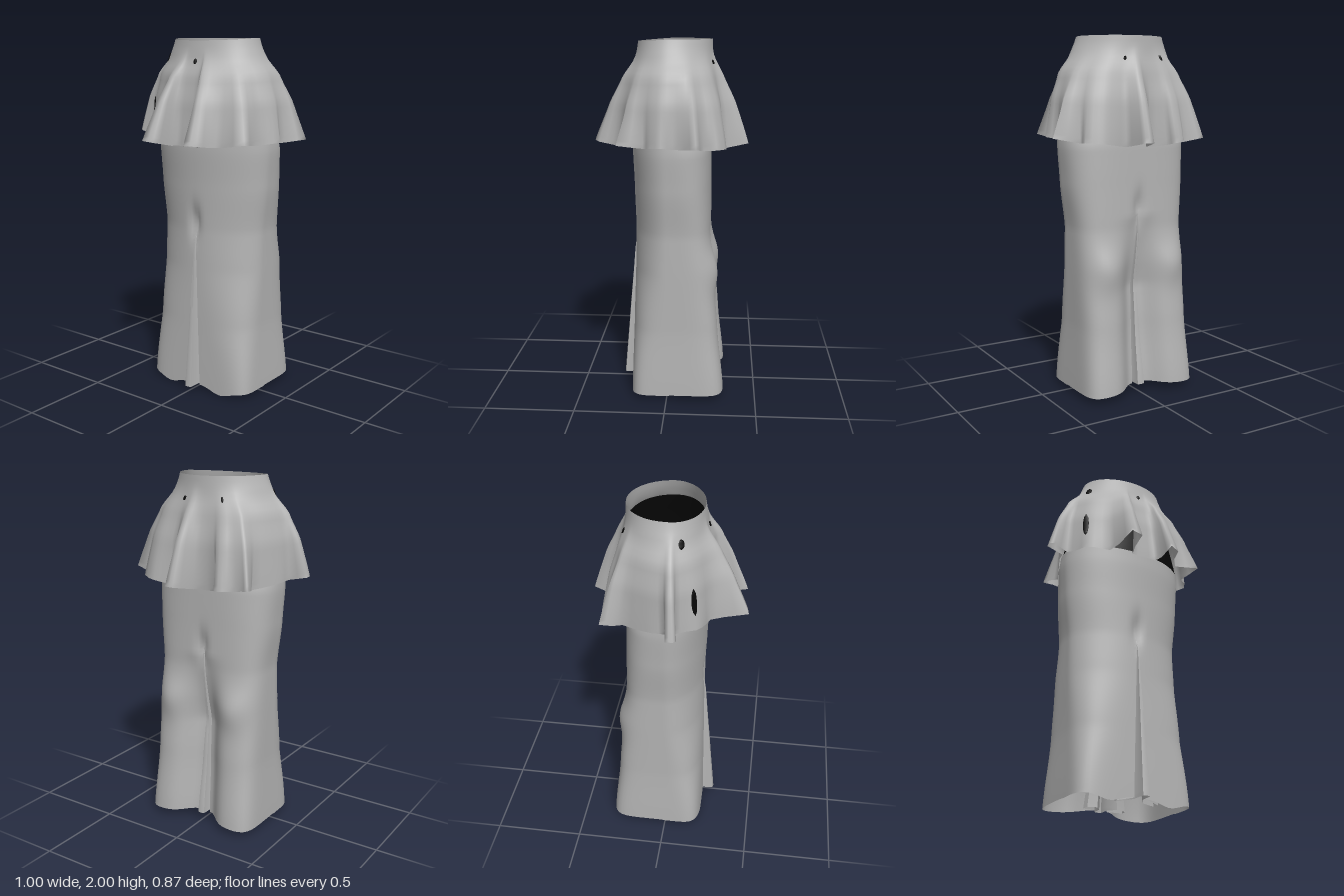
import * as THREE from 'three';
import { toCreasedNormals } from 'three/addons/utils/BufferGeometryUtils.js';

// Skin a stack of closed rings (listed top to bottom, front towards +x)
function loft(rings) {
  const n = rings[0].length, index = [];
  for (let i = 0; i < rings.length - 1; i++) {
    for (let j = 0; j < n; j++) {
      const k = (j + 1) % n, a = i * n + j, b = i * n + k, c = a + n, d = b + n;
      index.push(a, c, b, b, c, d);
    }
  }
  const geo = new THREE.BufferGeometry();
  geo.setAttribute('position', new THREE.Float32BufferAttribute(rings.flat(2), 3));
  geo.setIndex(index);
  geo.computeVertexNormals();
  return geo;
}

const clamp01 = (t) => Math.min(1, Math.max(0, t));
const bell = (d, width) => Math.exp(-((d / width) ** 2));

// Smooth lookup in rows of [y, value, value, ...] with y falling
function profile(rows, y) {
  let i = 0;
  while (i < rows.length - 2 && y < rows[i + 1][0]) i++;
  const a = rows[i], b = rows[i + 1];
  const t = clamp01((a[0] - y) / (a[0] - b[0]));
  const s = t * t * (3 - 2 * t) * 0.4 + t * 0.6;
  return a.slice(1).map((v, k) => v + (b[k + 1] - v) * s);
}

// Skirt sizes: y, half width, front z, back depth, front and back squareness
const SKIRT = [
  [1.48, 0.37, 0.206, 0.23, 2, 2.5],
  [1.4, 0.374, 0.208, 0.234, 1.95, 2.9],
  [1.2, 0.362, 0.2, 0.235, 1.9, 3.3],
  [0.95, 0.334, 0.193, 0.238, 1.87, 4],
  [0.72, 0.334, 0.195, 0.258, 2.05, 4.6],
  [0.4, 0.332, 0.2, 0.287, 3, 5.5],
  [0.03, 0.345, 0.205, 0.322, 5.5, 7],
];

// One end of a pleat, from the middle strip out to the pocket behind the lip
function pleat(p, edge, dir, stripOut) {
  const shape = [
    [0, stripOut], [0.02, stripOut - 0.005], [0.024, -0.03],
    [0.06, -0.077], [0.115, -0.065], [0.12, -0.028],
  ];
  return shape.map(([x, z], i) => [i * 0.0005 + x * p, dir * (edge + z * p)]);
}

function skirtRing(y) {
  const [w, front, back, nf, nb] = profile(SKIRT, y);
  const pf = clamp01((0.93 - y) / 0.9), pb = clamp01((1.06 - y) / 1.03);
  const valley = 0.1 * clamp01((1.02 - y) / 0.4);
  const half = pleat(pf, front, 1, 0.065);
  // outer panel from the front lip round to the back lip
  const steps = 48;
  for (let i = 0; i <= steps; i++) {
    const a = (i / steps) * Math.PI, c = Math.cos(a), s = Math.sin(a);
    const n = c > 0 ? nf : nb;
    const r = Math.pow(Math.pow(Math.abs(c), n) + Math.pow(s, n), -1 / n);
    const lip = 0.004 + 0.034 * (c > 0 ? pf : pb);
    const x = lip + (w - lip) * r * s;
    let z = r * c * (c > 0 ? front : back);
    // hollow between the leg columns, and the calf bulges
    if (c < 0) {
      z += valley * bell(x - lip, 0.09) * clamp01(-4 * c);
      z -= 0.028 * bell(y - 0.73, 0.11) * bell(x - 0.21, 0.09);
    }
    half.push([x, z]);
  }
  half.push(...pleat(pb, back - valley, -1, 0.04).reverse());
  const mirrored = half.slice(1, -1).reverse().map(([x, z]) => [-x, z]);
  // soft dents above the slits, and the wavy hem
  return [...half, ...mirrored].map(([x, z]) => {
    const dip = z > 0 ? 0.03 * bell(Math.abs(x) - 0.18, 0.08) : -0.02 * bell(x, 0.25);
    const dent = Math.sign(z) * 0.028 * bell(y - (z > 0 ? 0.99 : 1.06), 0.09) * bell(x, 0.03);
    return [x, y - dip * clamp01(1 - (y - 0.03) / 0.25), z - dent];
  });
}

// Peplum hem outline (x, z)
const HEM_POINTS = [
  [-0.17, 0.43], [-0.1, 0.42], [-0.09, 0.32], [-0.07, 0.26], [0, 0.262], [0.08, 0.26],
  [0.1, 0.31], [0.1, 0.41], [0.165, 0.38], [0.185, 0.3], [0.23, 0.25], [0.385, 0.26],
  [0.355, 0.12], [0.41, 0.08], [0.445, 0.02], [0.405, -0.04], [0.43, -0.1], [0.495, -0.165],
  [0.35, -0.2], [0.36, -0.27], [0.3, -0.31], [0.26, -0.32], [0.2, -0.31], [0.12, -0.29],
  [0.1, -0.37], [0.09, -0.44], [0.04, -0.44], [0.01, -0.34], [-0.01, -0.28], [-0.14, -0.29],
  [-0.16, -0.355], [-0.21, -0.35], [-0.24, -0.31], [-0.3, -0.31], [-0.355, -0.335], [-0.34, -0.27],
  [-0.31, -0.22], [-0.36, -0.12], [-0.39, -0.05], [-0.4, 0.02], [-0.5, 0.03], [-0.5, 0.07],
  [-0.48, 0.085], [-0.39, 0.06], [-0.35, 0.12], [-0.33, 0.17], [-0.29, 0.2], [-0.2, 0.23], [-0.18, 0.3],
];
// add midpoints, then a softened copy for the upper part of the folds
const HEM = HEM_POINTS.flatMap(([x, z], i) => {
  const [nx, nz] = HEM_POINTS[(i + 1) % HEM_POINTS.length];
  return [[x, z], [(x + nx) / 2, (z + nz) / 2]];
});
let SOFT = HEM;
for (let pass = 0; pass < 8; pass++) {
  SOFT = SOFT.map((p, i, all) => {
    const a = all[(i + all.length - 1) % all.length], b = all[(i + 1) % all.length];
    return [0, 1].map((k) => (a[k] + 2 * p[k] + b[k]) / 4);
  });
}

// Smooth flare under the folds: y, half width, front z, back depth
const FLARE = [
  [2, 0.25, 0.175, 0.235],
  [1.9, 0.288, 0.19, 0.24],
  [1.8, 0.345, 0.227, 0.258],
  [1.65, 0.374, 0.255, 0.28],
  [1.425, 0.38, 0.275, 0.29],
];

function peplumRing(t) {
  const y = 2 - 0.575 * t;
  const [w, front, back] = profile(FLARE, y);
  const [bw, bf, bb] = FLARE[FLARE.length - 1].slice(1);
  const u = clamp01((t - 0.12) / 0.88), fold = u * (1.42 - 0.42 * u);
  return HEM.map(([hx, hz], i) => {
    const [sx, sz] = SOFT[i];
    const a = Math.atan2(sx / bw, sz / (sz > 0 ? bf : bb));
    const s = Math.sin(a), c = Math.cos(a);
    const tx = sx + (hx - sx) * u, tz = sz + (hz - sz) * u;
    const x = s * w + (tx - s * bw) * fold;
    const z = c * (c > 0 ? front : back) + (tz - c * (c > 0 ? bf : bb)) * fold;
    // outer folds ride higher at the hem, the back hangs lower; the front rim dips
    const lift = (0.21 * Math.max(0, Math.hypot(hx, hz) - 0.3) - 0.02 * clamp01(-hz / 0.25)) * t * t;
    const rim = 0.012 * Math.max(0, c) * (1 - t);
    return [x, y + lift - rim, z];
  });
}

// Dark lining between waistband and skirt
const LINING = [
  [1.915, 0.258, 0.173, 0.222],
  [1.75, 0.305, 0.187, 0.224],
  [1.48, 0.37, 0.206, 0.23],
];

function liningRing(y) {
  const [w, front, back] = profile(LINING, y);
  return Array.from({ length: 64 }, (_, i) => {
    const a = (i / 64) * Math.PI * 2, c = Math.cos(a);
    return [Math.sin(a) * w, y, c * (c > 0 ? front : back)];
  });
}

// Evenly spaced rings from top to bottom
const stack = (count, from, to, ring) =>
  Array.from({ length: count + 1 }, (_, i) => ring(from + ((to - from) * i) / count));

// Lining showing through the peplum: place round the hem, half width, top and bottom
const PATCHES = [
  [88, 0.9, 0.14, 0.22], [90, 0.6, 0.57, 0.84], [8.4, 0.4, 0.17, 0.22],
  [62, 0.5, 0.18, 0.23], [46, 0.4, 0.19, 0.23],
];

function patch([place, width, top, bottom]) {
  return loft(stack(8, top, bottom, (t) => {
    const ring = peplumRing(t);
    const half = width * Math.sqrt(Math.max(0, Math.sin((Math.PI * (t - top)) / (bottom - top)))) + 0.02;
    const point = (at, out) => {
      const i = Math.floor(at), a = ring[i], b = ring[i + 1];
      const [x, y, z] = a.map((v, k) => v + (b[k] - v) * (at - i));
      const r = 1 + out / Math.hypot(x, z);
      return [x * r, y, z * r];
    };
    const l = place - half, r = place + half;
    return [point(l, 0.006), point(r, 0.006), point(r, -0.002), point(l, -0.002)];
  }));
}

export function createModel() {
  const cloth = new THREE.MeshStandardMaterial({ color: 0xb4b4b4, side: THREE.DoubleSide });
  cloth.name = 'grey cloth';
  const dark = new THREE.MeshStandardMaterial({ color: 0x060606, side: THREE.DoubleSide });
  dark.name = 'black lining';

  const group = new THREE.Group();
  group.name = 'peplumSkirt';
  const add = (name, geometry, material) => {
    const mesh = new THREE.Mesh(geometry, material);
    mesh.name = name;
    group.add(mesh);
  };
  add('skirt', toCreasedNormals(loft(stack(60, 1.48, 0.03, skirtRing)), 0.9), cloth);
  add('peplum', loft(stack(20, 0, 1, peplumRing)), cloth);
  add('lining', loft(stack(10, 1.915, 1.48, liningRing)), dark);
  PATCHES.forEach((p) => add('liningPatch', patch(p), dark));
  return group;
}
